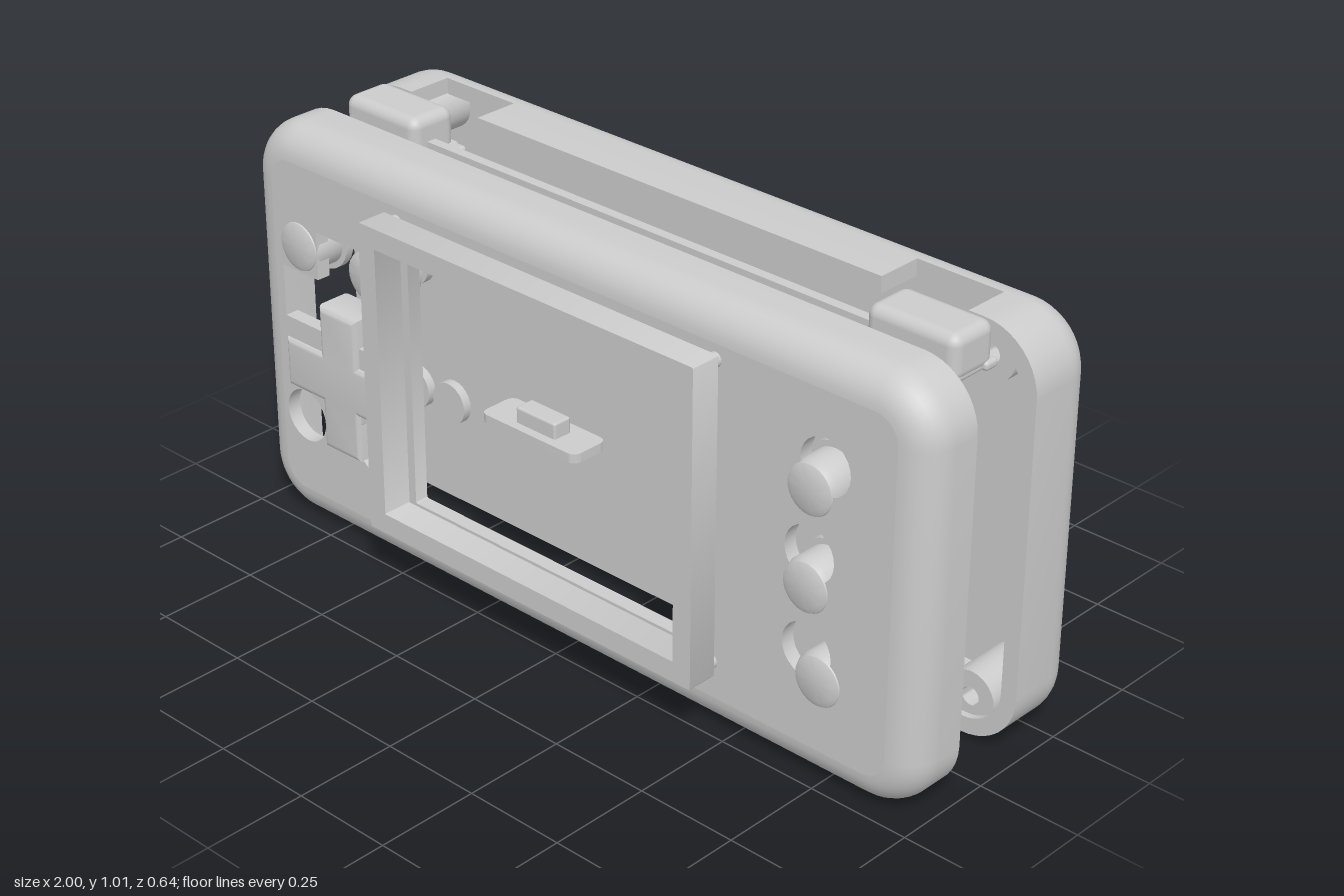
import * as THREE from 'three';
import { toCreasedNormals } from 'three/addons/utils/BufferGeometryUtils.js';
import { RoundedBoxGeometry } from 'three/addons/geometries/RoundedBoxGeometry.js';

const mat = new THREE.MeshStandardMaterial({ color: 0xcccccc });

function add(parent, name, geo, x = 0, y = 0, z = 0) {
  const m = new THREE.Mesh(geo, mat);
  m.name = name;
  m.position.set(x, y, z);
  parent.add(m);
  return m;
}

// Rounded rectangle outline; also used for slots
function roundRect(x0, y0, x1, y1, r, Type = THREE.Path) {
  const p = new Type();
  p.moveTo(x0 + r, y0);
  p.lineTo(x1 - r, y0);
  p.absarc(x1 - r, y0 + r, r, -Math.PI / 2, 0);
  p.absarc(x1 - r, y1 - r, r, 0, Math.PI / 2);
  p.absarc(x0 + r, y1 - r, r, Math.PI / 2, Math.PI);
  p.absarc(x0 + r, y0 + r, r, Math.PI, Math.PI * 1.5);
  return p;
}

function circle(x, y, r, Type = THREE.Path) {
  const p = new Type();
  p.absarc(x, y, r, 0, Math.PI * 2);
  return p;
}

function cross(cx, cy, half, arm, Type = THREE.Path) {
  const pts = [];
  for (let i = 0; i < 4; i++) {
    for (const [a, b] of [[half, -arm], [half, arm], [arm, arm]]) {
      const c = Math.round(Math.cos(i * Math.PI / 2)), s = Math.round(Math.sin(i * Math.PI / 2));
      pts.push(new THREE.Vector2(cx + a * c - b * s, cy + a * s + b * c));
    }
  }
  return new Type(pts);
}

const extrude = (shape, depth) => toCreasedNormals(
  new THREE.ExtrudeGeometry(shape, { depth, bevelEnabled: false, curveSegments: 12 }), 0.6);

// Half shell: a wall swept round a rounded rectangle, closed by a face plate.
// dir is the side the face looks to; notches are [x, depth] lists cut from the rim.
function shell(parent, name, { x0, y0, x1, y1, face, depth, dir, top = [], bottom = [], holes }) {
  const R = 0.14, r = 0.08, t = 0.035, w = 0.04, N = 10;
  const cols = [];
  const corner = (cx, cy, a0) => {
    for (let i = 0; i <= N; i++) {
      const a = a0 + i / N * Math.PI / 2;
      cols.push([cx, cy, Math.cos(a), Math.sin(a), depth]);
    }
  };
  corner(x1 - R, y0 + R, -Math.PI / 2);
  corner(x1 - R, y1 - R, 0);
  top.forEach(([x, d]) => cols.push([x, y1 - R, 0, 1, d]));
  corner(x0 + R, y1 - R, Math.PI / 2);
  corner(x0 + R, y0 + R, Math.PI);
  bottom.forEach(([x, d]) => cols.push([x, y0 + R, 0, -1, d]));

  const pos = [], idx = [];
  let P = 0;
  for (const [cx, cy, nx, ny, open] of cols) {
    const prof = [[0, open]];
    for (let i = 0; i <= 8; i++) {
      const a = i / 8 * Math.PI / 2;
      prof.push([r - r * Math.cos(a), r - r * Math.sin(a)]);
    }
    prof.push([r, t], [w + 0.015, t], [w, t + 0.015], [w, open], [0, open]);
    P = prof.length;
    for (const [i, d] of prof) pos.push(cx + nx * (R - i), cy + ny * (R - i), face - dir * d);
  }
  for (let i = 0; i < cols.length; i++) {
    const k = (i + 1) % cols.length;
    for (let j = 0; j < P - 1; j++) {
      const a = i * P + j, b = k * P + j, c = b + 1, d = a + 1;
      if (dir > 0) idx.push(a, b, c, a, c, d);
      else idx.push(a, c, b, a, d, c);
    }
  }
  const g = new THREE.BufferGeometry();
  g.setAttribute('position', new THREE.Float32BufferAttribute(pos, 3));
  g.setIndex(idx);
  const grp = new THREE.Group();
  grp.name = name;
  parent.add(grp);
  add(grp, name + 'Wall', toCreasedNormals(g, 0.6));
  const plate = roundRect(x0 + r, y0 + r, x1 - r, y1 - r, R - r, THREE.Shape);
  plate.holes.push(...holes);
  add(grp, name + 'Face', extrude(plate, t), 0, 0, dir > 0 ? face - t : face);
  return grp;
}

const notch = (xa, xb, full, d) => [[xa, full], [xa, d], [xb, d], [xb, full]];

function ring(R, r, depth) {
  const s = circle(0, 0, R, THREE.Shape);
  s.holes.push(circle(0, 0, r));
  return extrude(s, depth);
}

// Round push button with a domed edge and a base flange
function buttonGeo() {
  const pts = [[0, 0], [0.078, 0], [0.078, 0.02], [0.064, 0.02], [0.064, 0.085],
    [0.058, 0.098], [0.045, 0.104], [0, 0.105]].map(p => new THREE.Vector2(...p));
  return toCreasedNormals(new THREE.LatheGeometry(pts, 28).rotateX(Math.PI / 2), 0.6);
}

export function createModel() {
  const model = new THREE.Group();
  model.name = 'explodedHandheld';
  const posts = [[-0.86, 0.095], [0.86, 0.095], [-0.86, 0.915], [0.86, 0.915]];

  // Front shell with window, cross hole and round holes
  const front = shell(model, 'frontShell', {
    x0: -1, y0: 0, x1: 1, y1: 1.005, face: 0.227, depth: 0.145, dir: 1,
    holes: [
      roundRect(-0.47, 0.19, 0.42, 0.85, 0.005), cross(-0.71, 0.59, 0.185, 0.065),
      ...[[-0.84, 0.28], [-0.6, 0.28], [0.705, 0.31], [0.705, 0.54], [0.74, 0.755]].map(([x, y]) => circle(x, y, 0.066)),
    ],
  });
  posts.forEach(([x, y]) => add(front, 'frontScrewPost', ring(0.055, 0.024, 0.11), x, y, 0.085));
  for (const y of [0.037, 0.97]) add(front, 'alignmentLip', new THREE.BoxGeometry(1.06, 0.014, 0.06), 0.02, y, 0.078);

  // Back shell with vents, screw recesses and rim cutouts
  const D = 0.2, arch = [];
  for (let i = 0; i <= 12; i++) {
    const a = Math.PI * (1 - i / 12);
    arch.push([0.68 + 0.056 * Math.cos(a), 0.13 - 0.045 * Math.sin(a)]);
  }
  const vents = [];
  for (const x of [0.745, 0.8, 0.855]) vents.push(roundRect(x - 0.011, 0.49, x + 0.011, 0.81, 0.01));
  for (const y of [0.1, 0.14, 0.18]) vents.push(roundRect(-0.39, y - 0.009, 0.26, y + 0.009, 0.008));
  const back = shell(model, 'backShell', {
    x0: -1, y0: 0.01, x1: 0.99, y1: 1, face: -0.32, depth: D, dir: -1,
    top: [...notch(0.81, 0.585, D, 0.085), ...notch(-0.6, -0.82, D, 0.085)],
    bottom: [...notch(-0.7, -0.4, D, 0.14), ...notch(-0.31, -0.16, D, 0.16), ...notch(-0.12, 0.04, D, 0.16),
      [0.624, D], ...arch, [0.736, D]],
    holes: [...vents, ...posts.map(([x, y]) => circle(x, y, 0.046))],
  });
  posts.forEach(([x, y]) => add(back, 'backScrewPost', ring(0.062, 0.022, 0.15), x, y, -0.286));

  // Screen bezel with locating pegs
  const bezel = new THREE.Group();
  bezel.name = 'screenBezel';
  model.add(bezel);
  const frame = roundRect(-0.52, 0.15, 0.47, 0.915, 0.004, THREE.Shape);
  frame.holes.push(roundRect(-0.47, 0.2, 0.42, 0.865, 0.003));
  add(bezel, 'bezelFrame', extrude(frame, 0.075), 0, 0, 0.247);
  for (const x of [-0.497, 0.447]) for (const y of [0.172, 0.892])
    add(bezel, 'bezelPeg', new THREE.CylinderGeometry(0.017, 0.017, 0.02, 16).rotateX(Math.PI / 2), x, y, 0.24);

  // Direction pad
  const pad = new THREE.ExtrudeGeometry(cross(0, 0, 0.168, 0.048, THREE.Shape), {
    depth: 0.07, bevelThickness: 0.016, bevelSize: 0.016, bevelSegments: 4 });
  add(model, 'directionPad', toCreasedNormals(pad, 0.6), -0.71, 0.41, 0.15);

  // Push buttons
  const btn = buttonGeo();
  for (const [x, y] of [[-0.835, 0.72], [-0.605, 0.72], [0.703, 0.69], [0.698, 0.46], [0.738, 0.25]])
    add(model, 'pushButton', btn, x, y, 0.132);

  // Slide switch
  const slider = new THREE.Group();
  slider.name = 'slideSwitch';
  model.add(slider);
  const plate = extrude(roundRect(-0.145, -0.05, 0.145, 0.05, 0.02, THREE.Shape), 0.022);
  add(slider, 'slidePlate', plate.rotateX(-Math.PI / 2), -0.098, 0.492, 0.182);
  add(slider, 'slideNub', new RoundedBoxGeometry(0.12, 0.045, 0.05, 2, 0.006), -0.094, 0.53, 0.185);

  // Circuit board, display and contact pads
  const board = new THREE.Group();
  board.name = 'circuitBoard';
  model.add(board);
  add(board, 'boardPlate', new THREE.BoxGeometry(1.56, 0.905, 0.025), 0, 0.498, -0.038);
  add(board, 'display', new THREE.BoxGeometry(0.76, 0.58, 0.034), 0.02, 0.52, -0.009);
  const contact = new THREE.CylinderGeometry(0.053, 0.053, 0.022, 24).rotateX(Math.PI / 2);
  for (const [x, y] of [[0.71, 0.86], [0.7, 0.64], [0.7, 0.31], [-0.71, 0.64], [-0.84, 0.31], [-0.6, 0.31]])
    add(board, 'contactPad', contact, Math.max(x, -0.72), y, -0.014);

  // Shoulder buttons with retaining flange and clips
  for (const [name, s, x] of [['rightShoulderButton', -1, -0.785], ['leftShoulderButton', 1, 0.768]]) {
    const g = new THREE.Group();
    g.name = name;
    g.position.x = x;
    model.add(g);
    add(g, 'shoulderCap', new RoundedBoxGeometry(0.235, 0.108, 0.128, 4, 0.026), 0, 0.957, -0.05);
    add(g, 'shoulderFlange', new RoundedBoxGeometry(0.27, 0.02, 0.14, 3, 0.009), s * -0.02, 0.914, -0.045);
    for (const dx of [-0.135, 0.1]) for (const z of [-0.1, 0.02])
      add(g, 'shoulderClip', new RoundedBoxGeometry(0.05, 0.022, 0.04, 2, 0.009), dx, 0.914, z);
  }
  return model;
}
